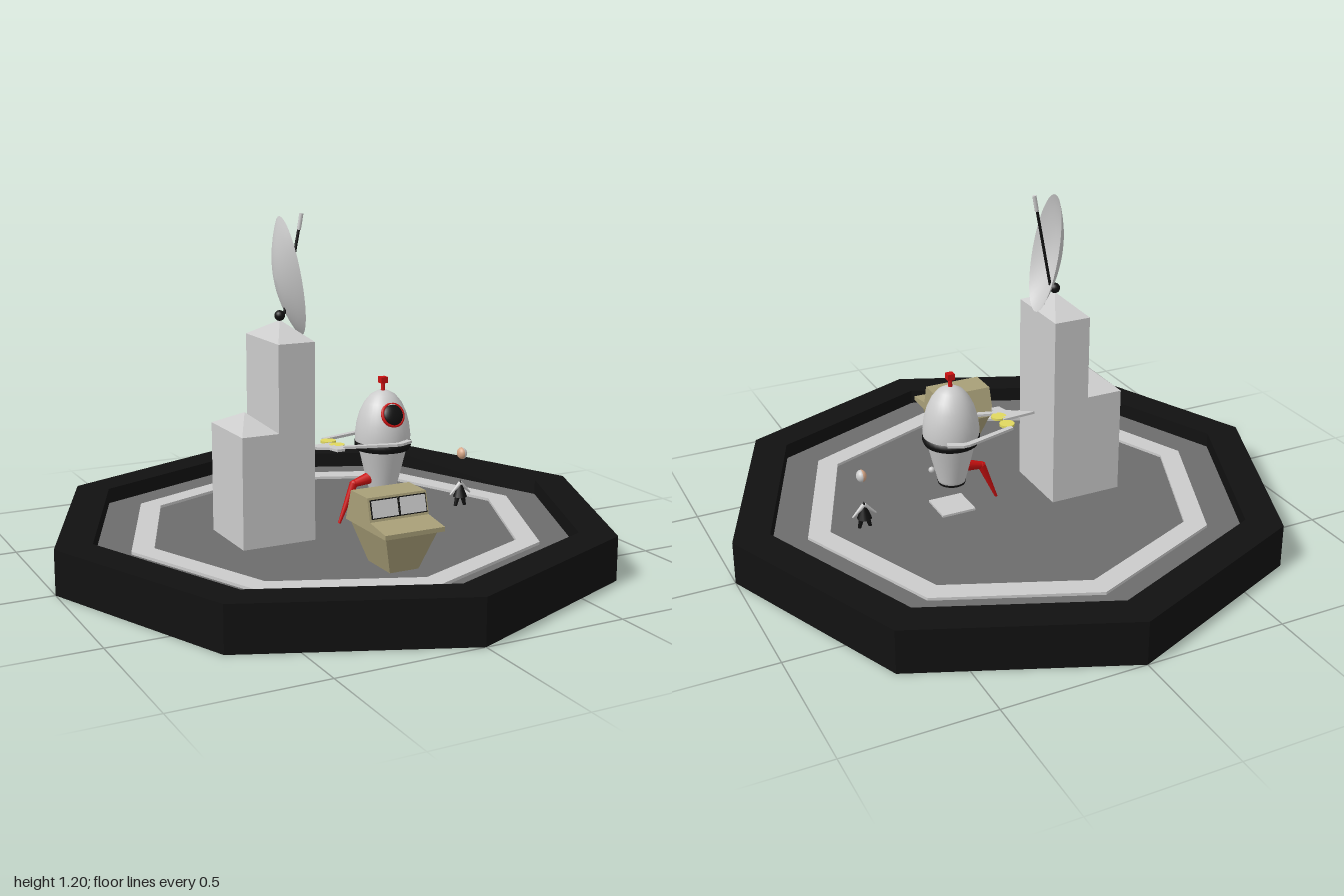
import * as THREE from 'three';

const mat = (color) => new THREE.MeshStandardMaterial({ color, side: THREE.DoubleSide });
const GREY = mat(0xcccccc), BLACK = mat(0x111111), FLOOR = mat(0x6c6c6c), RED = mat(0xcc1111),
  KHAKI = mat(0xa89f78), YELLOW = mat(0xe0d860), TAN = mat(0xd8a888);
const FLOOR_Y = 0.1;

export function createModel() {
  const root = new THREE.Group();
  const add = (name, geo, material, x = 0, y = 0, z = 0, parent = root) => {
    const m = new THREE.Mesh(geo, material);
    m.name = name;
    m.position.set(x, y, z);
    parent.add(m);
    return m;
  };
  const group = (name) => {
    const g = new THREE.Group();
    g.name = name;
    root.add(g);
    return g;
  };
  const V2 = (pts) => pts.map(([x, y]) => new THREE.Vector2(x, y));
  const lathe = (pts, seg = 32) => new THREE.LatheGeometry(V2(pts), seg);
  const octagon = (r) => Array.from({ length: 8 }, (_, i) =>
    new THREE.Vector2(r * Math.cos(i * Math.PI / 4), r * Math.sin(i * Math.PI / 4)));
  // horizontal plate from an outline in (x, -z)
  const plate = (pts, h, hole) => {
    const s = new THREE.Shape(pts);
    if (hole) s.holes.push(new THREE.Path(hole));
    return new THREE.ExtrudeGeometry(s, { depth: h, bevelEnabled: false }).rotateX(-Math.PI / 2);
  };
  // rod between two points with different end radii
  const rod = (name, a, b, ra, rb, material, parent) => {
    const A = new THREE.Vector3(...a), B = new THREE.Vector3(...b), d = B.clone().sub(A);
    const m = add(name, new THREE.CylinderGeometry(rb, ra, d.length(), 12), material, 0, 0, 0, parent);
    m.position.copy(A).add(B).multiplyScalar(0.5);
    m.quaternion.setFromUnitVectors(new THREE.Vector3(0, 1, 0), d.normalize());
    return m;
  };
  // box whose bottom face is scaled
  const frustum = (w, h, d, sx, sz) => {
    const g = new THREE.BoxGeometry(w, h, d), p = g.attributes.position;
    for (let i = 0; i < p.count; i++)
      if (p.getY(i) < 0) p.setXYZ(i, p.getX(i) * sx, p.getY(i), p.getZ(i) * sz);
    g.computeVertexNormals();
    return g;
  };

  // octagonal platform with a sunken floor and a light ring
  add('platformBase', plate(octagon(1), 0.09), BLACK);
  add('platformRim', plate(octagon(1), 0.065, octagon(0.87)), BLACK, 0, 0.09, 0);
  add('floor', plate(octagon(0.87), 0.01), FLOOR, 0, 0.09, 0);
  add('floorRing', plate(octagon(0.74), 0.01, octagon(0.66)), GREY, 0, FLOOR_Y, 0);

  // two-step tower with pyramid roofs
  const tower = group('tower');
  for (const [name, x, top, apex] of [['tallBlock', -0.195, 0.785, 0.845], ['lowBlock', -0.328, 0.485, 0.54]]) {
    add(name, new THREE.BoxGeometry(0.133, top - FLOOR_Y, 0.265), GREY, x, (top + FLOOR_Y) / 2, 0, tower);
    const roof = new THREE.ConeGeometry(Math.SQRT1_2, apex - top, 4, 1, true).toNonIndexed();
    roof.rotateY(Math.PI / 4).scale(0.133, 1, 0.265).computeVertexNormals();
    add(name + 'Roof', roof, GREY, x, (top + apex) / 2, 0, tower);
  }

  // oval dish with its receiver rod
  const dish = group('dish');
  const bowl = lathe([0, 0.2, 0.4, 0.6, 0.8, 0.92, 1].map((r) => [r, -0.055 * (1 - r * r)]), 40);
  bowl.scale(0.207, 1, 0.09).rotateZ(-THREE.MathUtils.degToRad(79.4));
  add('dishBowl', bowl, GREY, -0.155, 0.99, 0, dish);
  add('dishPivot', new THREE.SphereGeometry(0.018, 16, 12), BLACK, -0.195, 0.86, 0, dish);
  rod('receiverRod', [-0.178, 0.865, 0], [-0.122, 1.15, 0], 0.005, 0.005, BLACK, dish);
  rod('receiverTip', [-0.122, 1.145, 0], [-0.112, 1.2, 0], 0.007, 0.007, GREY, dish);

  // floating egg-shaped robot
  const robot = group('robot');
  const X = 0.205;
  add('lowerBody', lathe([[0, 0.2], [0.047, 0.2], [0.05, 0.215], [0.068, 0.285], [0.086, 0.36]]), GREY, X, 0, 0, robot);
  add('nozzleRing', new THREE.CylinderGeometry(0.05, 0.048, 0.008, 32), BLACK, X, 0.203, 0, robot);
  add('waistBand', lathe([[0.08, 0.354], [0.095, 0.356], [0.101, 0.37], [0.1, 0.386], [0.08, 0.388]]), BLACK, X, 0, 0, robot);
  add('dome', lathe([[0.098, 0.38], [0.099, 0.41], [0.094, 0.45], [0.083, 0.49], [0.066, 0.525],
    [0.044, 0.552], [0.02, 0.565], [0, 0.568]]), GREY, X, 0, 0, robot);
  add('antennaStem', new THREE.CylinderGeometry(0.006, 0.008, 0.04, 12), RED, X, 0.58, 0, robot);
  add('antennaTip', new THREE.BoxGeometry(0.026, 0.022, 0.026), RED, X, 0.604, 0, robot);
  const eye = new THREE.Group();
  eye.name = 'eye';
  eye.position.set(X, 0.49, 0.073);
  eye.rotation.x = -0.4;
  robot.add(eye);
  add('eyeRing', new THREE.TorusGeometry(0.04, 0.006, 10, 32), RED, 0, 0, 0, eye);
  add('eyeLens', new THREE.SphereGeometry(0.039, 24, 16).scale(1, 1, 0.45), BLACK, 0, 0, 0, eye);

  // bent red leg
  rod('upperLeg', [0.155, 0.253, 0], [0.09, 0.238, 0], 0.022, 0.013, RED, robot);
  add('knee', new THREE.SphereGeometry(0.014, 12, 8), RED, 0.09, 0.238, 0, robot);
  rod('lowerLeg', [0.09, 0.24, 0], [0.032, FLOOR_Y, 0], 0.015, 0.005, RED, robot);

  // flat arms with yellow hands, and the claw plate
  for (const s of [1, -1]) {
    const arm = V2([[0, 0.055], [0, 0.075], [0.19, 0.13], [0.215, 0.13], [0.265, 0.105],
      [0.255, 0.08], [0.21, 0.108], [0.19, 0.108]].map(([x, z]) => [x, -s * z]));
    add('arm', plate(arm, 0.009), GREY, 0, 0.39, 0, robot);
    add('hand', new THREE.CylinderGeometry(0.027, 0.027, 0.008, 24), YELLOW, 0.005, 0.395, s * 0.033, robot);
  }
  add('claw', plate(V2([[-0.125, -0.01], [0, 0], [0.005, -0.075], [0, -0.105], [-0.03, -0.105], [-0.04, -0.065]]), 0.009),
    GREY, 0, 0.39, 0, robot);
  add('landingTile', new THREE.BoxGeometry(0.125, 0.008, 0.125), GREY, X, FLOOR_Y + 0.004, 0);
  add('smallBall', new THREE.SphereGeometry(0.011, 12, 8), GREY, 0.31, 0.302, -0.07);

  // control desk
  const desk = group('desk');
  add('deskBase', frustum(0.19, 0.135, 0.24, 0.55, 0.6), KHAKI, -0.02, 0.1675, 0.48, desk);
  const profile = new THREE.Shape(V2([[0.62, 0.235], [0.62, 0.25], [0.52, 0.265], [0.5, 0.34], [0.39, 0.34], [0.355, 0.235]]));
  const deskTop = new THREE.ExtrudeGeometry(profile, { depth: 0.215, bevelEnabled: false }).rotateY(-Math.PI / 2);
  add('deskTop', deskTop, KHAKI, 0.0875, 0, 0, desk);
  for (const x of [-0.07, 0.032]) {
    const tilt = -Math.atan2(0.02, 0.075);
    add('screenFrame', new THREE.BoxGeometry(0.1, 0.062, 0.006), BLACK, x, 0.303, 0.51, desk).rotation.x = tilt;
    add('screen', new THREE.BoxGeometry(0.093, 0.055, 0.01), GREY, x, 0.303, 0.51, desk).rotation.x = tilt;
  }

  // small figure with a separate hovering head
  const figure = group('smallFigure');
  add('figureBody', new THREE.ConeGeometry(0.026, 0.065, 12), BLACK, 0.535, 0.167, 0, figure);
  for (const s of [1, -1]) {
    rod('figureArm', [0.535, 0.185, 0], [0.535 + s * 0.043, 0.145, 0], 0.009, 0.003, GREY, figure);
    rod('figureLeg', [0.535 + s * 0.008, 0.145, 0], [0.535 + s * 0.02, FLOOR_Y, 0], 0.01, 0.006, BLACK, figure);
  }
  add('figureHead', new THREE.SphereGeometry(0.022, 16, 12, 0, Math.PI).rotateY(Math.PI / 2).scale(0.8, 1, 1),
    GREY, 0.54, 0.298, 0, figure);
  add('figureFace', new THREE.SphereGeometry(0.022, 16, 12, 0, Math.PI).rotateY(-Math.PI / 2).scale(0.8, 1, 1),
    TAN, 0.54, 0.298, 0, figure);
  return root;
}
